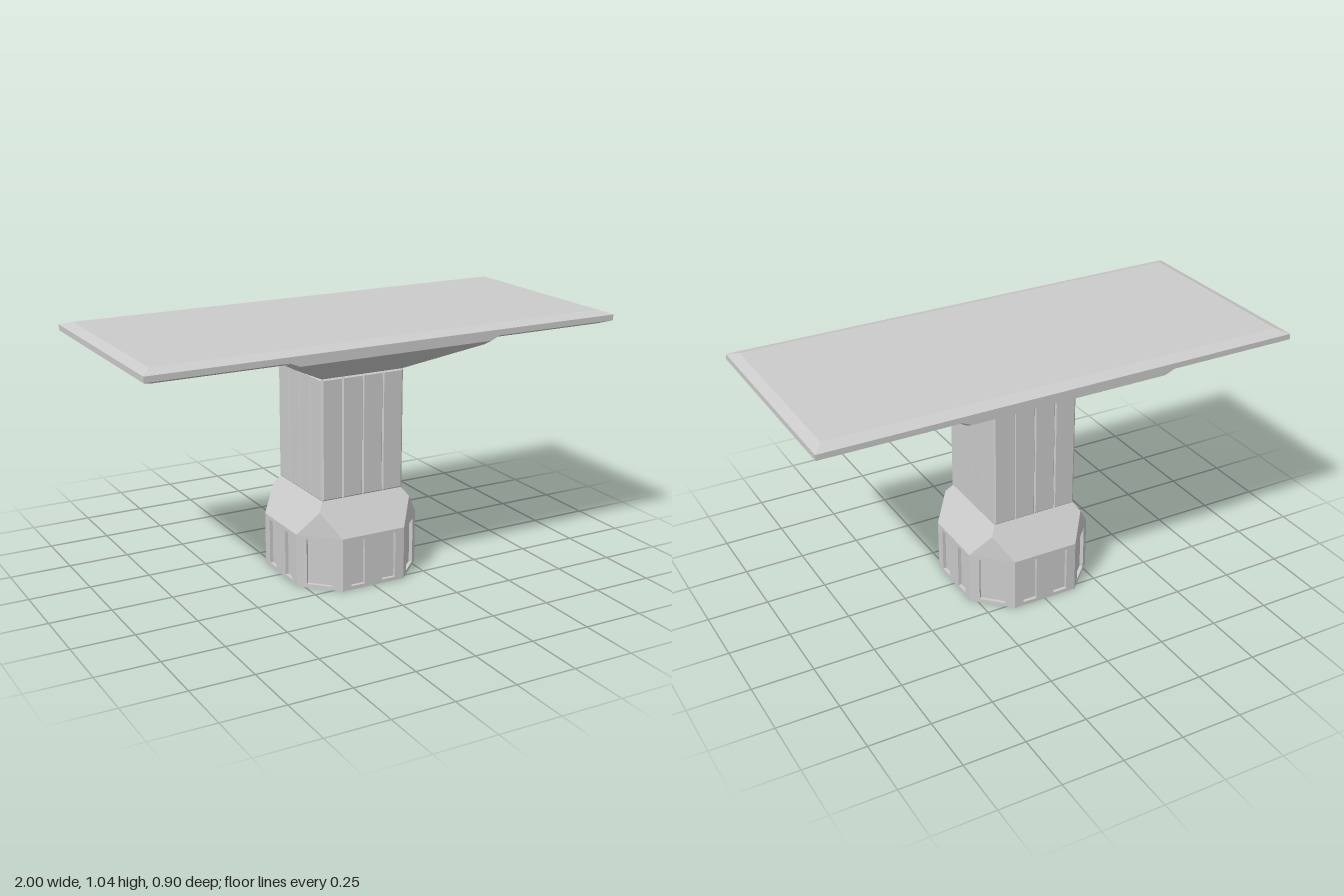
import * as THREE from 'three';

const material = new THREE.MeshStandardMaterial({ color: 0xcccccc, flatShading: true });

// Cross-section rings as [x, z] corners, all turning from +x towards +z
const rect = (hx, hz) => [[hx, hz], [-hx, hz], [-hx, -hz], [hx, -hz]];
const octagon = (a, b) => [[a, b], [b, a], [-b, a], [-a, b], [-a, -b], [-b, -a], [b, -a], [a, -b]];
const square8 = (a) => octagon(a, a);

// Joins stacked rings { y, ring } with flat faces and closes both ends
function loft(sections) {
  const pos = [];
  const tri = (a, b, c) => {
    const area = new THREE.Triangle(a, b, c).getArea();
    if (area > 1e-9) for (const p of [a, b, c]) pos.push(p.x, p.y, p.z);
  };
  const rings = sections.map(([y, ring]) => ring.map(([x, z]) => new THREE.Vector3(x, y, z)));
  const n = rings[0].length;
  for (let s = 0; s < rings.length - 1; s++) {
    const lo = rings[s], hi = rings[s + 1];
    for (let i = 0; i < n; i++) {
      const j = (i + 1) % n;
      tri(lo[i], hi[i], lo[j]);
      tri(hi[i], hi[j], lo[j]);
    }
  }
  const bottom = rings[0], top = rings[rings.length - 1];
  for (let i = 1; i < n - 1; i++) {
    tri(bottom[0], bottom[i], bottom[i + 1]);
    tri(top[0], top[i + 1], top[i]);
  }
  const geometry = new THREE.BufferGeometry();
  geometry.setAttribute('position', new THREE.Float32BufferAttribute(pos, 3));
  geometry.computeVertexNormals();
  return geometry;
}

// Wall slab with rectangular openings given as [centre, half width]
function wallGeometry(width, height, depth, openings) {
  const w = width / 2;
  const shape = new THREE.Shape([[-w, 0], [w, 0], [w, height], [-w, height]].map(p => new THREE.Vector2(...p)));
  for (const [c, h] of openings) {
    const corners = [[c - h, 0.015], [c - h, 0.205], [c + h, 0.205], [c + h, 0.015]];
    shape.holes.push(new THREE.Path(corners.map(p => new THREE.Vector2(...p))));
  }
  return new THREE.ExtrudeGeometry(shape, { depth, bevelEnabled: false });
}

export function createModel() {
  const model = new THREE.Group();
  const add = (name, geometry, parent = model) => {
    const mesh = new THREE.Mesh(geometry, material);
    mesh.name = name;
    parent.add(mesh);
    return mesh;
  };

  // Octagonal base: recessed core behind eight walls with window openings
  const A = 0.275, B = 0.14, recess = 0.014, wallTop = 0.22;
  const base = new THREE.Group();
  base.name = 'base';
  model.add(base);
  add('baseCore', loft([
    [0.005, octagon(A - recess, B - 0.006)],
    [wallTop, octagon(A - recess, B - 0.006)],
  ]), base);
  const floor = new THREE.Shape(octagon(A, B).map(p => new THREE.Vector2(...p)));
  add('baseUnderside', new THREE.ShapeGeometry(floor).rotateX(Math.PI / 2), base);

  const sideWall = wallGeometry(2 * B, wallTop, recess, [[-0.07, 0.03], [0.07, 0.03]]);
  const cornerWall = wallGeometry((A - B) * Math.SQRT2, wallTop, recess, [[0, 0.053]]);
  for (let i = 0; i < 8; i++) {
    const corner = i % 2 === 1;
    const apothem = corner ? (A + B) / Math.SQRT2 : A;
    const angle = i * Math.PI / 4;
    const wall = add(corner ? 'cornerWall' : 'sideWall', corner ? cornerWall : sideWall, base);
    wall.rotation.y = angle;
    wall.position.set(Math.sin(angle), 0, Math.cos(angle)).multiplyScalar(apothem - recess);
  }

  // Sloped shoulder whose corners are cut into triangles
  add('baseShoulder', loft([
    [wallTop, octagon(A, B)],
    [0.32, square8(0.2046)],
    [0.355, square8(0.18)],
  ]), base);

  // Square column clad with four bevelled strips per side
  const column = new THREE.Group();
  column.name = 'column';
  model.add(column);
  const y0 = 0.355, y1 = 0.85, half = 0.179, bevel = 0.006;
  add('columnCore', loft([[y0, rect(half, half)], [y1, rect(half, half)]]), column);
  const strip = loft([
    [0, rect(0.045, (y1 - y0) / 2)],
    [bevel, rect(0.045 - bevel * 0.8, (y1 - y0) / 2 - bevel)],
  ]).rotateX(Math.PI / 2);
  for (let side = 0; side < 4; side++) {
    const face = new THREE.Group();
    face.name = 'columnFace';
    face.rotation.y = side * Math.PI / 2;
    column.add(face);
    for (let i = 0; i < 4; i++) {
      add('columnStrip', strip, face).position.set((i - 1.5) * 0.09, (y0 + y1) / 2, half);
    }
  }

  // Flared support with clipped upper corners
  add('flaredSupport', loft([
    [y1, square8(0.18)],
    [0.969, square8(0.41)],
    [0.99, octagon(0.45, 0.41)],
    [1.007, square8(0.45)],
  ]));

  // Wide top slab, bevelled above and below
  add('topSlab', loft([
    [0.99, rect(0.96, 0.405)],
    [1.007, rect(1, 0.45)],
    [1.03, rect(1, 0.45)],
    [1.045, rect(0.96, 0.402)],
  ]));

  return model;
}
